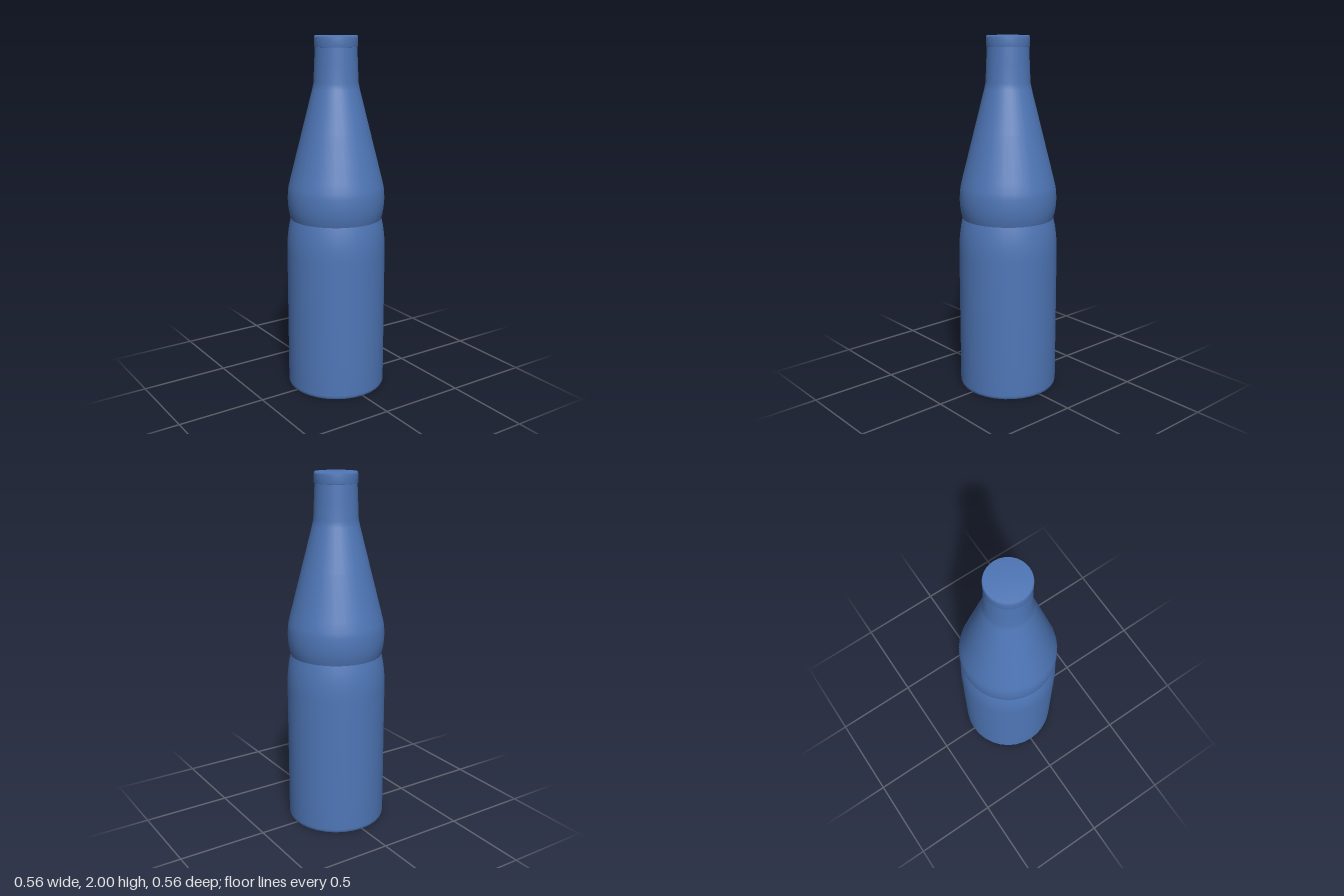
import * as THREE from 'three';

const SIDES = 32;
const material = new THREE.MeshStandardMaterial({ color: 0x4f77b8 });

// Revolve a list of [radius, height] pairs, listed from bottom to top
function turned(name, profile) {
  const points = profile.map(([r, y]) => new THREE.Vector2(r, y));
  const mesh = new THREE.Mesh(new THREE.LatheGeometry(points, SIDES), material);
  mesh.name = name;
  return mesh;
}

export function createModel() {
  const bottle = new THREE.Group();
  bottle.name = 'bottle';

  // Flat underside
  bottle.add(turned('base', [[0, 0], [0.272, 0]]));

  // Straight body that curves in to the waist
  bottle.add(turned('body', [
    [0.272, 0], [0.276, 0.006], [0.279, 0.02], [0.279, 0.2], [0.279, 0.8],
    [0.278, 0.85], [0.274, 0.9], [0.267, 0.95], [0.257, 0.995],
  ]));

  // Rounded shoulder bulge, tapering cone and slim neck
  bottle.add(turned('shoulderAndNeck', [
    [0.257, 0.995], [0.264, 1.02], [0.27, 1.055], [0.273, 1.1], [0.271, 1.15],
    [0.266, 1.18], [0.255, 1.225], [0.19, 1.48], [0.13, 1.715], [0.123, 1.75],
    [0.119, 1.85], [0.115, 1.94],
  ]));

  // Cap with a slight overhang and a softened rim
  bottle.add(turned('cap', [
    [0.113, 1.938], [0.119, 1.94], [0.119, 1.988], [0.115, 2], [0, 2],
  ]));

  return bottle;
}
